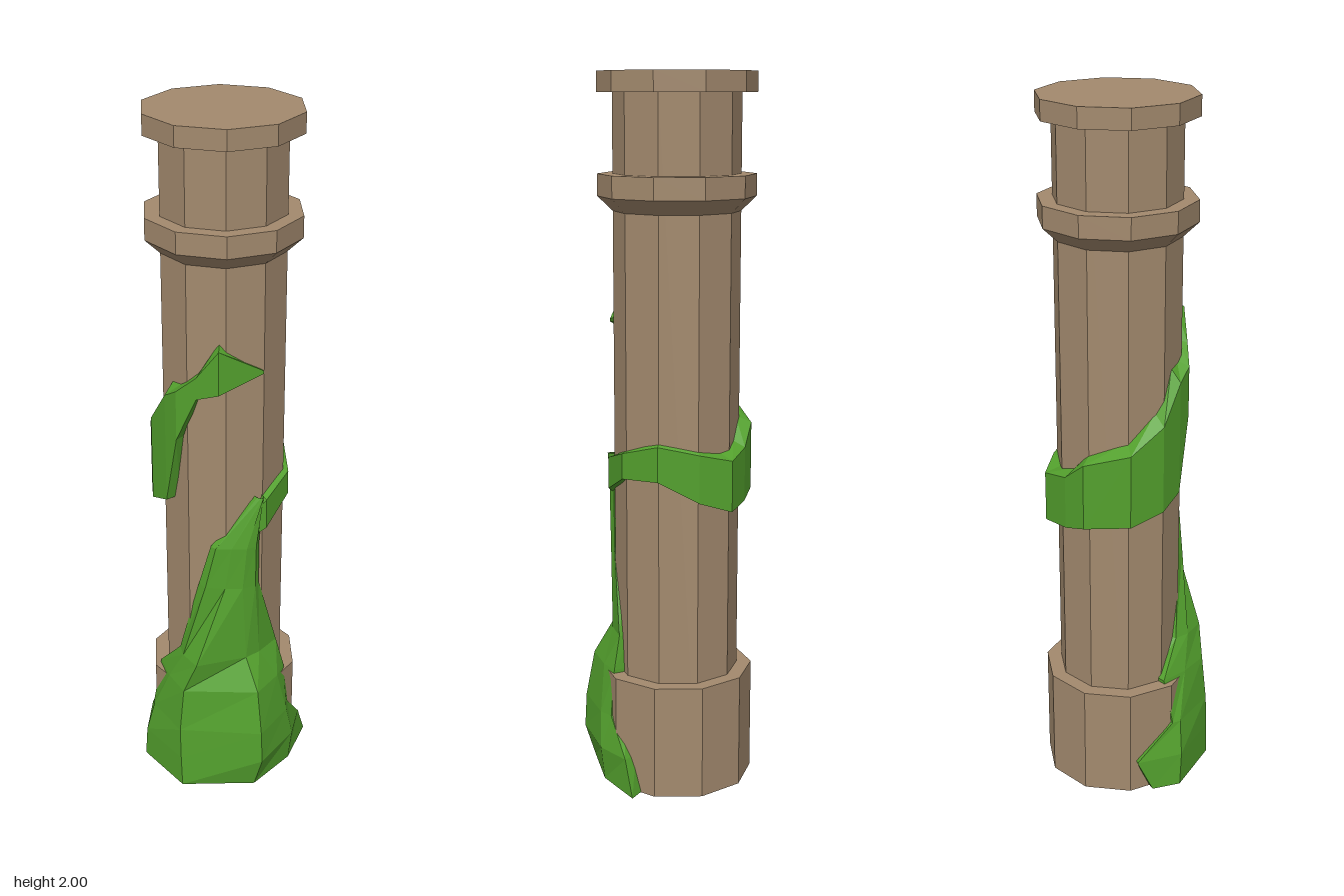
import * as THREE from 'three';

const CX = -0.03, CZ = -0.013; // column axis

// Flat-faced open sheet through rows of [x, y, z] points
function sheet(rows) {
  const pos = [];
  for (let i = 0; i < rows.length - 1; i++) {
    for (let j = 0; j < rows[i].length - 1; j++) {
      const a = rows[i][j], b = rows[i][j + 1];
      const c = rows[i + 1][j + 1], d = rows[i + 1][j];
      pos.push(...a, ...b, ...c, ...a, ...c, ...d);
    }
  }
  const g = new THREE.BufferGeometry();
  g.setAttribute('position', new THREE.Float32BufferAttribute(pos, 3));
  g.computeVertexNormals();
  return g;
}

export function createModel() {
  const model = new THREE.Group();
  model.name = 'overgrownColumn';
  const stone = new THREE.MeshStandardMaterial({
    name: 'stone', color: 0xa38a6e, flatShading: true, side: THREE.DoubleSide });
  const leaf = new THREE.MeshStandardMaterial({
    name: 'ivyGreen', color: 0x53a02d, flatShading: true, side: THREE.DoubleSide });

  const add = (name, geometry, material) => {
    const m = new THREE.Mesh(geometry, material);
    m.name = name;
    model.add(m);
    return m;
  };

  // Ten-sided stone parts: profiles of [radius, y]
  const R = 0.217, S = 0.175;
  const parts = {
    shaft: [[S, 0], [S, 1.95]],
    plinth: [[S, 0], [R, 0], [R, 0.325], [S, 0.325]],
    collar: [[S, 1.63], [R, 1.67], [R, 1.73], [S, 1.73]],
    capital: [[S, 1.945], [R, 1.945], [R, 2], [0, 2]],
  };
  for (const [name, profile] of Object.entries(parts)) {
    const pts = profile.map(([r, y]) => new THREE.Vector2(r, y));
    const g = new THREE.LatheGeometry(pts, 10, Math.PI / 2).toNonIndexed();
    g.computeVertexNormals();
    add(name, g, stone).position.set(CX, 0, CZ);
  }

  // Ivy clump: horizontal cross-sections [y, then x, z pairs from front to back]
  const sections = [
    [0.002, -0.17, 0.17, -0.11, 0.23, 0.08, 0.232, 0.21, 0.06, 0.18, -0.1, 0.1, -0.233],
    [0.1, -0.2, 0.135, -0.1, 0.23, 0.075, 0.232, 0.24, 0.055, 0.19, -0.105, 0.12, -0.19],
    [0.2, -0.1, 0.2, -0.08, 0.215, 0.07, 0.23, 0.235, 0.055, 0.19, -0.08, 0.16, -0.11],
    [0.335, -0.1, 0.17, -0.02, 0.2, 0.07, 0.215, 0.21, 0.05, 0.18, -0.05, 0.15, -0.1],
    [0.43, -0.01, 0.165, 0.03, 0.185, 0.1, 0.19, 0.155, 0.05, 0.155, 0, 0.135, -0.08],
    [0.67, 0.05, 0.14, 0.08, 0.14, 0.12, 0.1, 0.15, 0.06, 0.158, 0.02, 0.148, 0],
    [0.8, 0.08, 0.12, 0.1, 0.118, 0.13, 0.085, 0.155, 0.05, 0.16, 0.02, 0.148, 0],
    [0.95, 0.14, 0.01, 0.15, 0.01, 0.16, 0.005, 0.165, 0, 0.16, -0.005, 0.15, -0.01],
  ];
  const inward = ([x, y, z], k) => [CX + (x - CX) * k, y, CZ + (z - CZ) * k];
  const rows = sections.map(([y, ...c]) => {
    const row = [];
    for (let i = 0; i < c.length; i += 2) row.push([c[i], y, c[i + 1]]);
    // tuck both ends into the stone
    return [inward(row[0], 0.8), ...row, inward(row[row.length - 1], 0.8)];
  });
  rows.unshift(rows[0].map((p) => inward(p, 0.82))); // underside
  add('ivyClump', sheet(rows), leaf);

  // Ivy strand winding around the shaft: [angle from front, bottom, top, radius]
  const stations = [
    [66, 0.8, 0.86, 0.17], [90, 0.85, 0.95, 0.193], [126, 0.905, 0.985, 0.19],
    [162, 0.91, 1.02, 0.185], [198, 0.85, 1.0, 0.185], [224, 0.82, 0.98, 0.213],
    [250, 0.83, 1.0, 0.2], [270, 0.85, 1.06, 0.21], [306, 0.865, 1.1, 0.215],
    [334, 0.89, 1.17, 0.205], [357, 0.92, 1.28, 0.195], [372, 1.13, 1.29, 0.2],
    [389, 1.26, 1.33, 0.19], [408, 1.28, 1.42, 0.195], [447, 1.325, 1.335, 0.185],
  ];
  const edge = (radius, height) => stations.map(([deg, lo, hi, r]) => {
    const a = THREE.MathUtils.degToRad(deg), q = radius(r);
    return [CX + q * Math.sin(a), height(lo, hi), CZ + q * Math.cos(a)];
  });
  add('ivyStrand', sheet([
    edge(() => 0.15, (lo) => lo),
    edge((r) => r, (lo) => lo),
    edge((r) => r, (lo, hi) => hi - 0.1 * (hi - lo)),
    edge(() => 0.165, (lo, hi) => hi),
  ]), leaf);

  return model;
}
